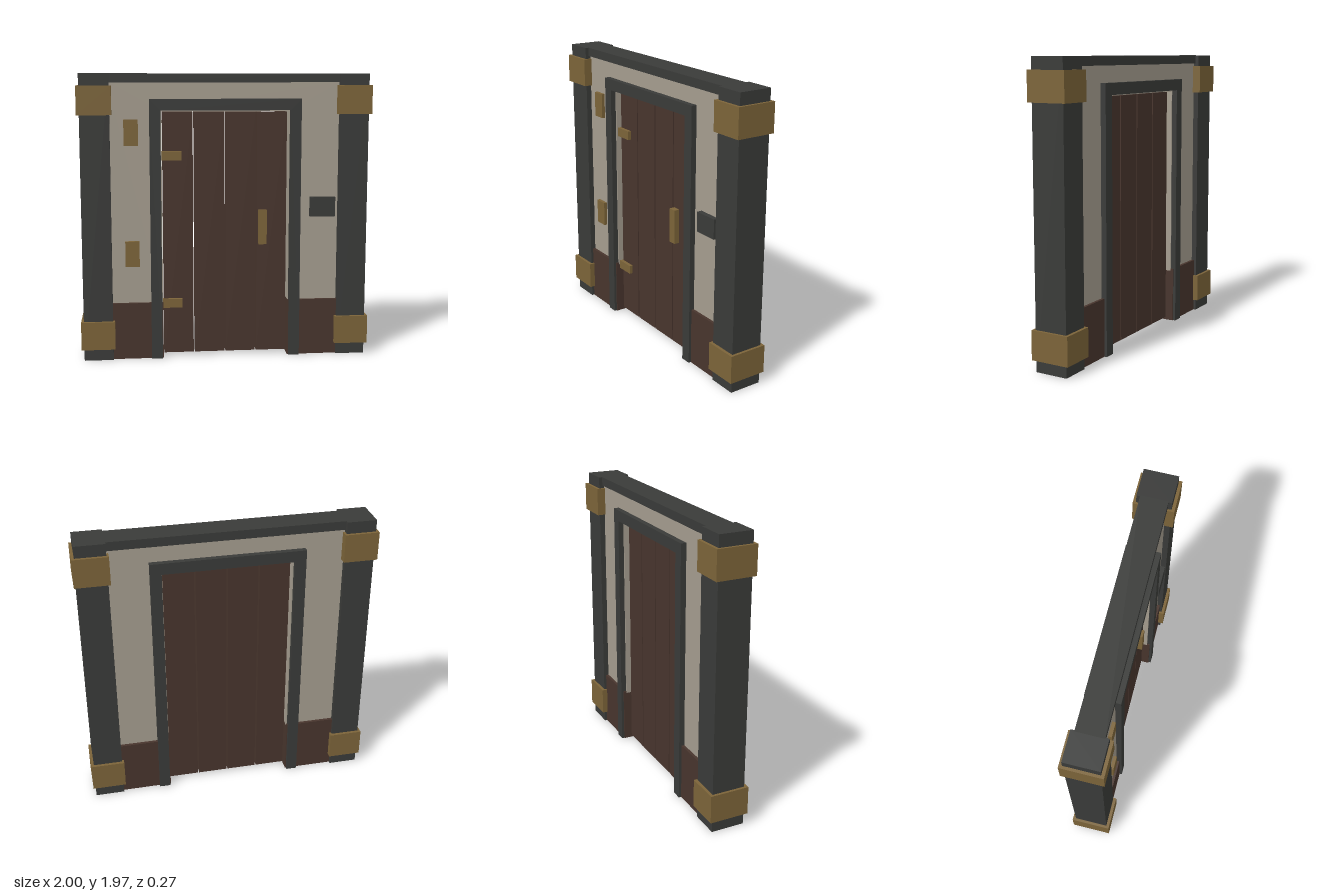
import * as THREE from 'three';

const mat = (color) => new THREE.MeshStandardMaterial({ color, flatShading: true });

export function createModel() {
  const group = new THREE.Group();
  const iron = mat(0x3a3b39), brass = mat(0x7c6439), plaster = mat(0xa59d8f), wood = mat(0x48352d);

  // Box given by its extents on each axis
  function box(name, material, [x0, x1], [y0, y1], [z0, z1]) {
    const mesh = new THREE.Mesh(new THREE.BoxGeometry(x1 - x0, y1 - y0, z1 - z0), material);
    mesh.position.set((x0 + x1) / 2, (y0 + y1) / 2, (z0 + z1) / 2);
    mesh.name = name;
    group.add(mesh);
  }

  // Plate with a doorway cut up from its bottom edge
  function doorway(name, material, outer, bottom, top, inner, innerTop, z0, z1) {
    const s = new THREE.Shape();
    s.moveTo(-outer, bottom);
    s.lineTo(-inner, bottom);
    s.lineTo(-inner, innerTop);
    s.lineTo(inner, innerTop);
    s.lineTo(inner, bottom);
    s.lineTo(outer, bottom);
    s.lineTo(outer, top);
    s.lineTo(-outer, top);
    s.closePath();
    const geo = new THREE.ExtrudeGeometry(s, { depth: z1 - z0, bevelEnabled: false });
    geo.translate(0, 0, z0);
    const mesh = new THREE.Mesh(geo, material);
    mesh.name = name;
    group.add(mesh);
  }

  // Plaster wall and the beam on top of it
  doorway('wall', plaster, 0.79, 0.38, 1.91, 0.435, 1.71, -0.077, 0.077);
  box('topBeam', iron, [-0.79, 0.79], [1.905, 1.965], [-0.091, 0.091]);

  // Door surround on both faces
  doorway('frontDoorFrame', iron, 0.517, 0, 1.795, 0.442, 1.718, 0.07, 0.115);
  doorway('backDoorFrame', iron, 0.517, 0, 1.795, 0.442, 1.718, -0.115, -0.07);

  // Side pillars with brass bands, and the wooden wainscot beside the door
  for (const [side, s] of [['left', 1], ['right', -1]]) {
    const span = (a, b) => (s > 0 ? [a, b] : [-b, -a]);
    box(side + 'Pillar', iron, span(0.782, 0.982), [0, 1.965], [-0.115, 0.115]);
    box(side + 'LowerBand', brass, span(0.768, 1), [0.08, 0.275], [-0.136, 0.136]);
    box(side + 'UpperBand', brass, span(0.768, 1), [1.69, 1.885], [-0.136, 0.136]);
    box(side + 'Wainscot', wood, span(0.435, 0.79), [0, 0.395], [-0.097, 0.097]);
  }

  // Door planks with narrow open gaps
  for (let i = 0; i < 4; i++) {
    const x = -0.325 + i * 0.2165;
    box('doorPlank', wood, [x - 0.1035, x + 0.1035], [0.02, 1.705], [-0.04, 0.04]);
  }

  // Hinges and handle on the front of the door
  for (const y of [0.38, 1.41]) box('hinge', brass, [-0.435, -0.3], [y - 0.031, y + 0.031], [0.035, 0.065]);
  box('doorHandle', brass, [0.232, 0.288], [0.79, 1.03], [0.035, 0.078]);

  // Wall plates and sign panel
  for (const y of [0.74, 1.57]) box('wallPlate', brass, [-0.69, -0.593], [y - 0.088, y + 0.088], [0.07, 0.1]);
  box('wallPanel', iron, [0.585, 0.76], [0.985, 1.12], [0.07, 0.112]);

  return group;
}
